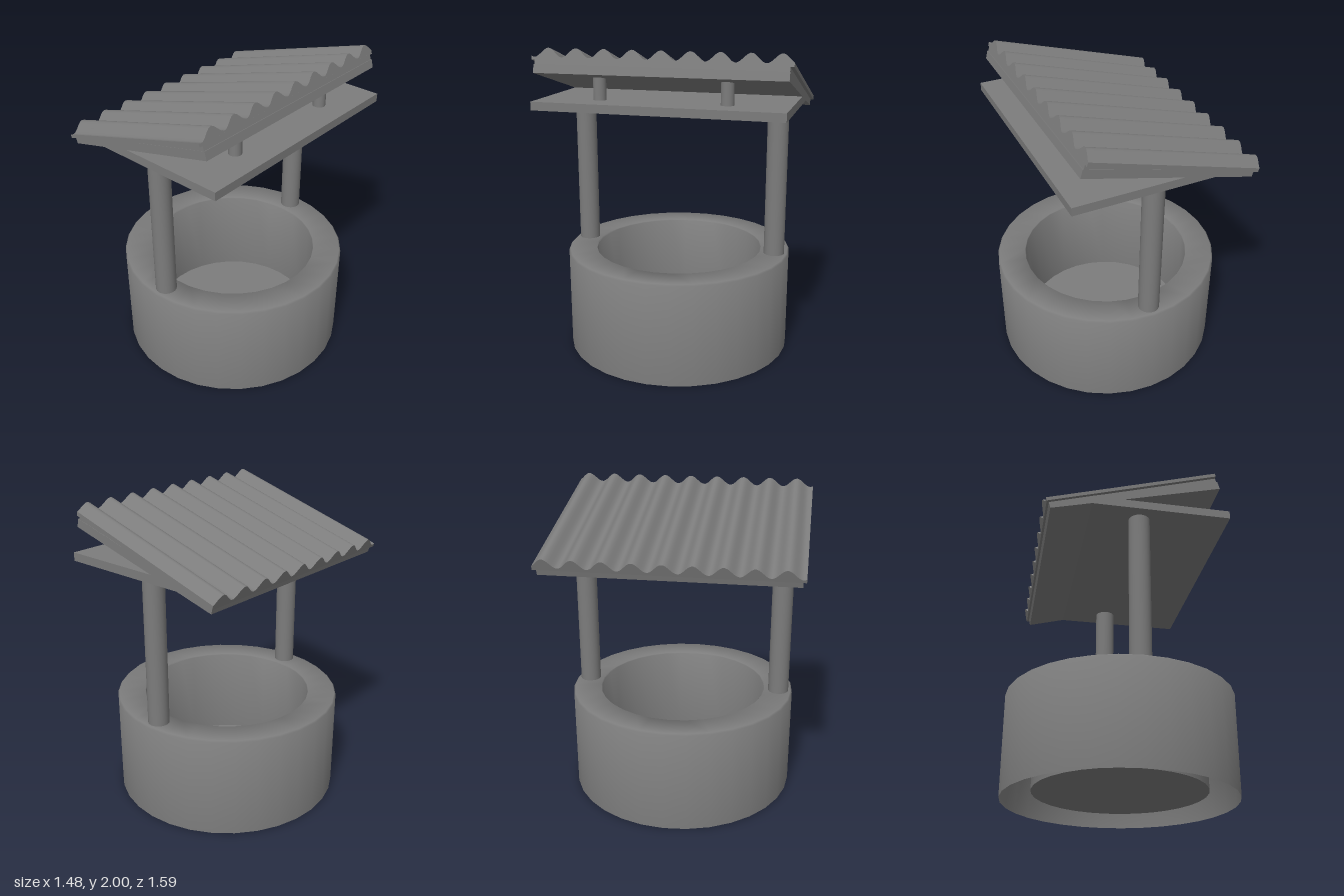
import * as THREE from 'three';
import { toCreasedNormals } from 'three/addons/utils/BufferGeometryUtils.js';

export function createModel() {
  const model = new THREE.Group();
  model.name = 'well';
  const stone = new THREE.MeshStandardMaterial({ color: 0x7c7c7c });
  const stoneDouble = new THREE.MeshStandardMaterial({ color: 0x7c7c7c, side: THREE.DoubleSide });

  function add(name, geometry, x = 0, y = 0, z = 0, material = stone) {
    const mesh = new THREE.Mesh(geometry, material);
    mesh.name = name;
    mesh.position.set(x, y, z);
    model.add(mesh);
    return mesh;
  }

  // Round wall: outer skin, softened rim, inner shaft and raised floor, open underneath
  const profile = [
    [0.74, 0], [0.74, 0.655], [0.73, 0.665], [0.555, 0.665],
    [0.551, 0.66], [0.551, 0.057], [0, 0.057],
  ].map(([r, y]) => new THREE.Vector2(r, y));
  const wall = new THREE.LatheGeometry(profile, 32);
  add('wellWall', toCreasedNormals(wall, 0.9), 0, 0, 0, stoneDouble);

  // Tall posts on the wall and short struts that prop up the roof
  for (const side of [1, -1]) {
    const end = side > 0 ? 'front' : 'back';
    add(end + 'Post', new THREE.CylinderGeometry(0.067, 0.067, 1.04, 24), 0, 1.12, side * 0.648);
    add(end + 'Strut', new THREE.CylinderGeometry(0.04, 0.04, 0.16, 20), 0.365, 1.75, side * 0.4);
  }

  // Level board carried by the posts, running into the low side of the roof
  add('platform', new THREE.BoxGeometry(0.895, 0.053, 1.554), 0.1075, 1.657, 0);

  // Two sloping boards under the sheet; the steeper upper one sinks into the lower
  const slope = THREE.MathUtils.degToRad(17.2);
  const lowerBoard = add('lowerRoofBoard', new THREE.BoxGeometry(1.107, 0.053, 1.554), -0.041, 1.732, 0);
  lowerBoard.rotation.z = THREE.MathUtils.degToRad(15.1);
  const upperBoard = add('upperRoofBoard', new THREE.BoxGeometry(1.1, 0.04, 1.55), -0.049, 1.752, 0);
  upperBoard.rotation.z = slope;

  // Corrugated sheet: a wavy section extruded along the slope
  const pitch = 0.1775, half = 0.797, steps = 108;
  const section = new THREE.Shape();
  section.moveTo(-half, 0);
  section.lineTo(half, 0);
  for (let i = 0; i <= steps; i++) {
    const u = half - (2 * half * i) / steps;
    section.lineTo(u, 0.046 + 0.029 * Math.cos((2 * Math.PI * (u - 0.02)) / pitch));
  }
  section.closePath();
  const sheetGeometry = new THREE.ExtrudeGeometry(section, { depth: 1.115, bevelEnabled: false });
  sheetGeometry.rotateY(Math.PI / 2);
  const sheet = add('corrugatedRoof', toCreasedNormals(sheetGeometry, 0.7), -0.593, 1.598, 0);
  sheet.rotation.z = slope;

  return model;
}
